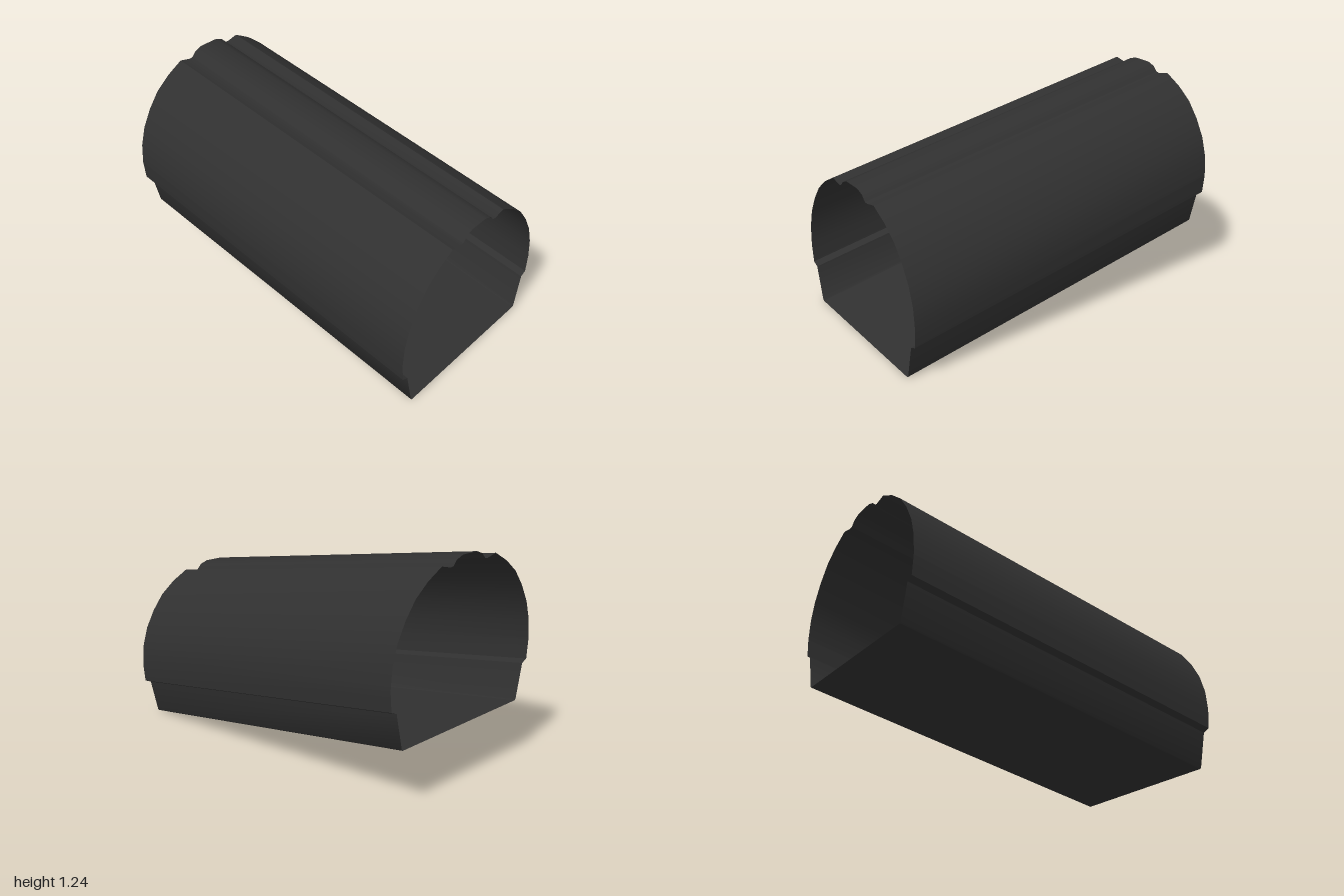
import * as THREE from 'three';
import { toCreasedNormals } from 'three/addons/utils/BufferGeometryUtils.js';

const RISE = 0.335; // how much higher the -x end sits

// Sweep an open [z, y] profile along x, sheared up toward -x
function sweep(name, profile, material) {
  const positions = [];
  for (let i = 0; i < profile.length - 1; i++) {
    const [z0, y0] = profile[i];
    const [z1, y1] = profile[i + 1];
    const a = [-1, y0 + RISE, z0], b = [1, y0, z0];
    const c = [-1, y1 + RISE, z1], d = [1, y1, z1];
    positions.push(...a, ...b, ...d, ...a, ...d, ...c);
  }
  const geometry = new THREE.BufferGeometry();
  geometry.setAttribute('position', new THREE.Float32BufferAttribute(positions, 3));
  const mesh = new THREE.Mesh(toCreasedNormals(geometry, 0.6), material);
  mesh.name = name;
  return mesh;
}

const mirror = (points) => points.map(([z, y]) => [-z, y]).reverse();

export function createModel() {
  const group = new THREE.Group();
  group.name = 'slopedShell';
  const charcoal = new THREE.MeshStandardMaterial({ color: 0x303030, side: THREE.DoubleSide });
  charcoal.name = 'charcoal';

  // Arched cover: lip, curved side, groove and raised ridge
  const half = [
    [0.535, 0.205], [0.573, 0.222], [0.583, 0.33], [0.583, 0.335], [0.573, 0.45],
    [0.54, 0.558], [0.485, 0.657], [0.415, 0.747], [0.325, 0.817], [0.223, 0.872],
    [0.153, 0.856], [0.132, 0.859], [0.105, 0.888], [0.058, 0.905],
  ];
  group.add(sweep('archedCover', [...half, ...mirror(half)], charcoal));

  // Tapered lower walls
  const wall = [[0.482, 0], [0.49, 0.008], [0.535, 0.205]];
  group.add(sweep('frontLowerWall', wall, charcoal));
  group.add(sweep('backLowerWall', mirror(wall), charcoal));

  // Flat floor
  group.add(sweep('floor', [[-0.482, 0], [0.482, 0]], charcoal));
  return group;
}
